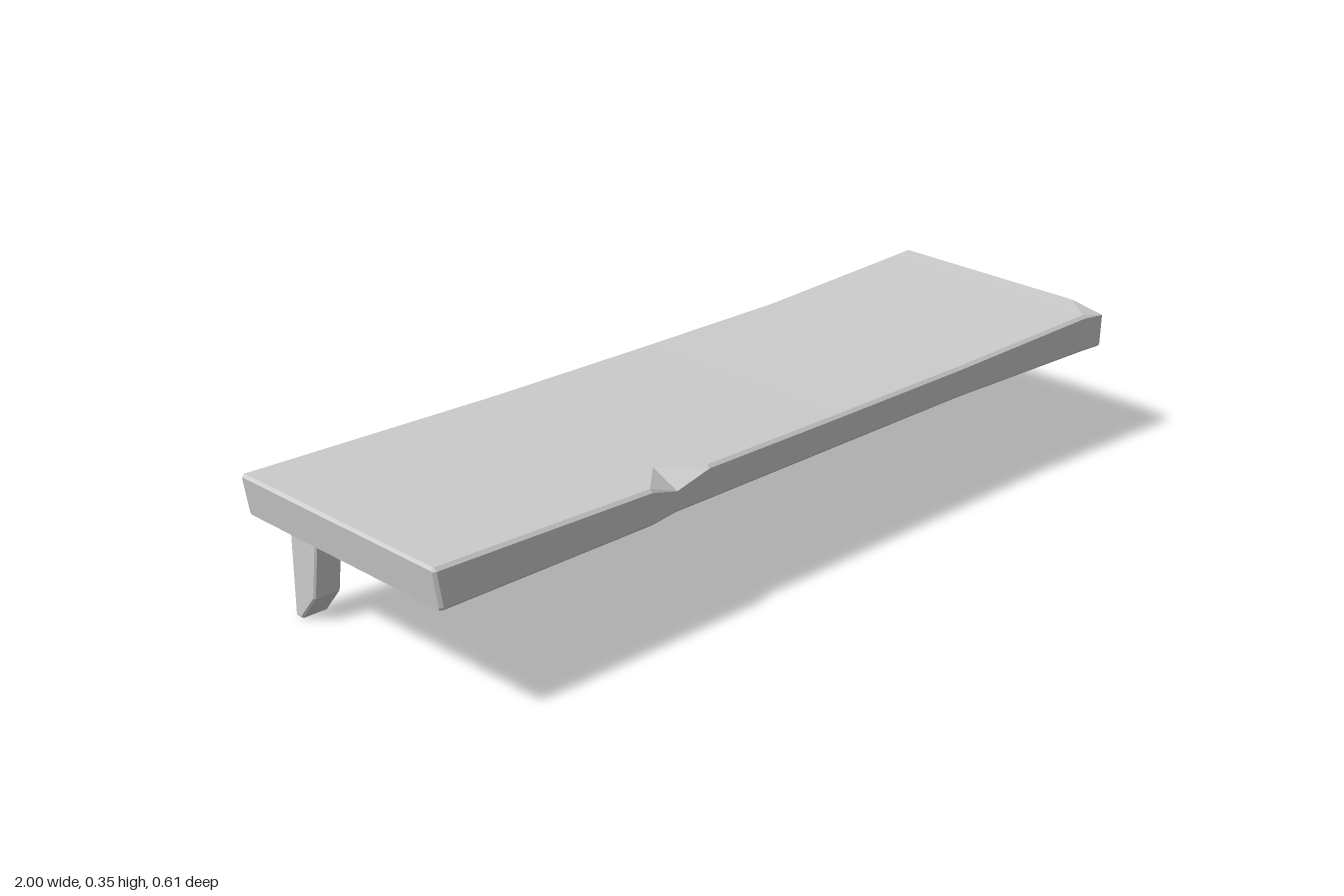
import * as THREE from 'three';

const BACK = -0.305, BOTTOM = 0.262, C = 0.007;

// One eight-sided slice of the board: chamfered top edges, slightly eased bottom.
// inner and frontY move the front chamfer to carve chips; inset shrinks end slices.
function slice({ x, top, front, inner = front - C, frontY = top - C, inset = 0, slant = 0 }) {
  const back = BACK + inset, f = front - inset, t = top - inset;
  const ring = [
    [back + 0.003, BOTTOM], [back, BOTTOM + 0.005], [back, t - (inset ? 0.002 : C)], [back + C, t],
    [Math.min(inner, f - 0.002), t], [f, Math.min(frontY, t - 0.002)], [f, BOTTOM + 0.005], [f - 0.003, BOTTOM],
  ];
  return ring.map(([z, y]) => [x + slant * (top - y) / (top - BOTTOM), y, z]);
}

function createBoard(material) {
  const rings = [
    { x: -1, top: 0.353, front: 0.306, inset: 0.006, slant: 0.015 },
    { x: -0.993, top: 0.353, front: 0.306, slant: 0.015 },
    { x: -0.45, top: 0.34, front: 0.304 },
    { x: -0.37, top: 0.338, front: 0.291, inner: 0.22, frontY: 0.308 }, // chip in the front edge
    { x: -0.28, top: 0.337, front: 0.291 },
    { x: 0.1, top: 0.334, front: 0.288 },
    { x: 0.5, top: 0.333, front: 0.285 },
    { x: 0.93, top: 0.35, front: 0.301 },
    { x: 0.991, top: 0.353, front: 0.305, inner: 0.215, frontY: 0.338, slant: -0.005 }, // chipped corner
    { x: 0.998, top: 0.353, front: 0.305, inner: 0.215, frontY: 0.33, inset: 0.006, slant: -0.005 },
  ].map(slice);
  const positions = [];
  const tri = (a, b, c) => positions.push(...a, ...b, ...c);
  const n = rings[0].length;
  for (let i = 0; i < rings.length - 1; i++) {
    for (let j = 0; j < n; j++) {
      const k = (j + 1) % n;
      const a = rings[i][j], b = rings[i + 1][j], c = rings[i + 1][k], d = rings[i][k];
      tri(a, c, b);
      tri(a, d, c);
    }
  }
  // End faces
  const first = rings[0], last = rings[rings.length - 1];
  for (let j = 1; j < n - 1; j++) {
    tri(first[0], first[j + 1], first[j]);
    tri(last[0], last[j], last[j + 1]);
  }
  const geometry = new THREE.BufferGeometry();
  geometry.setAttribute('position', new THREE.Float32BufferAttribute(positions, 3));
  geometry.computeVertexNormals();
  const board = new THREE.Mesh(geometry, material);
  board.name = 'shelfBoard';
  return board;
}

// Wall bracket: side profile (z, y) extruded across its width
function createBracket(x, name, material) {
  const bevel = 0.004, width = 0.067;
  const profile = [
    [-0.301, 0.004], [-0.286, 0.004], [-0.239, 0.062], [-0.217, 0.217],
    [0.171, 0.247], [0.171, 0.26], [-0.301, 0.26],
  ];
  const shape = new THREE.Shape(profile.map(([z, y]) => new THREE.Vector2(z, y)));
  const geometry = new THREE.ExtrudeGeometry(shape, {
    depth: width - 2 * bevel, bevelEnabled: true, bevelSegments: 1,
    bevelSize: bevel, bevelThickness: bevel,
  });
  geometry.translate(0, 0, -width / 2 + bevel);
  geometry.rotateY(-Math.PI / 2);
  const bracket = new THREE.Mesh(geometry, material);
  bracket.position.x = x;
  bracket.name = name;
  return bracket;
}

export function createModel() {
  const material = new THREE.MeshStandardMaterial({ color: 0xcccccc, flatShading: true });
  const group = new THREE.Group();
  group.name = 'wallShelf';
  group.add(
    createBoard(material),
    createBracket(0.834, 'leftBracket', material),
    createBracket(-0.858, 'rightBracket', material),
  );
  return group;
}
